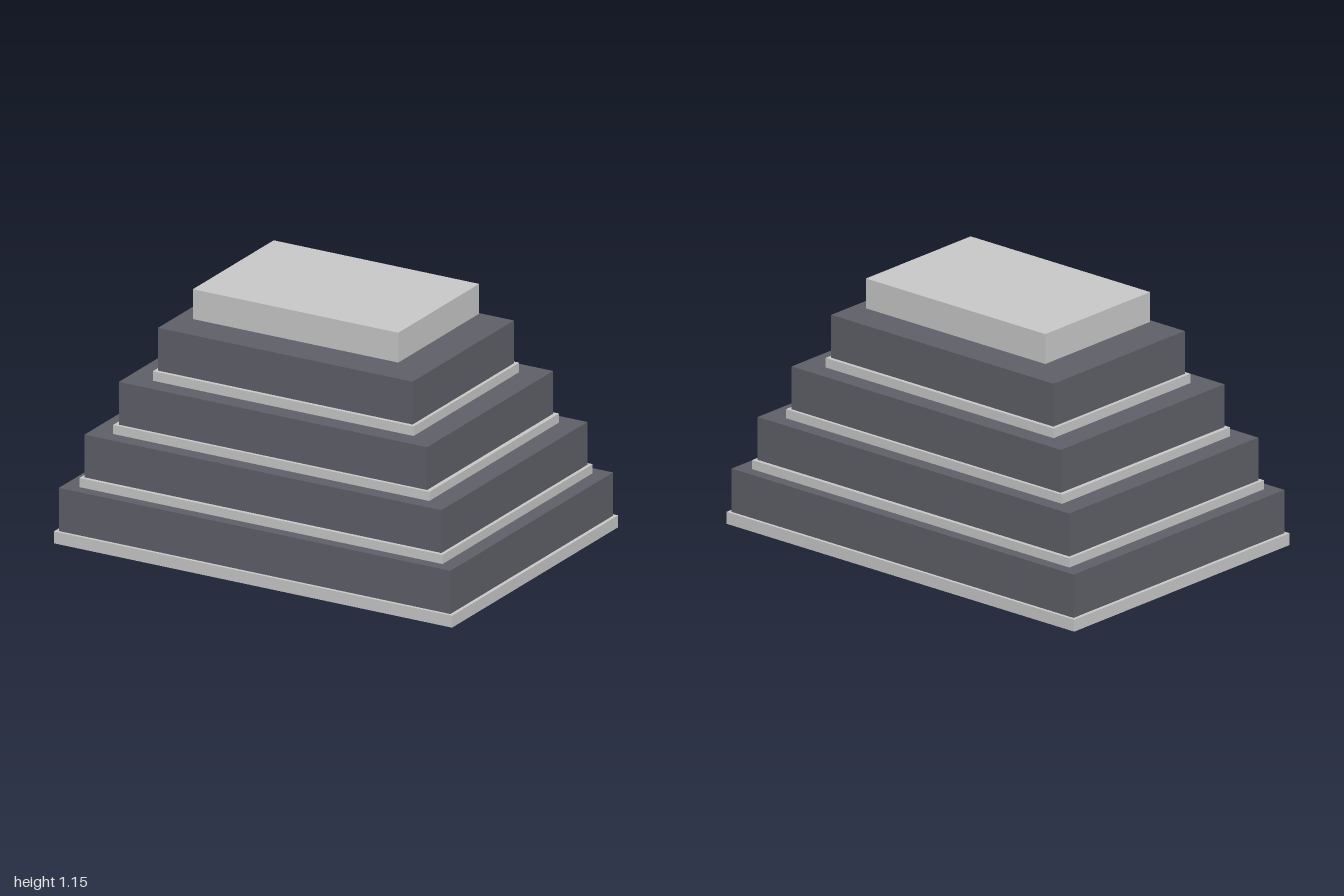
import * as THREE from 'three';

export function createModel() {
  const model = new THREE.Group();
  model.name = 'steppedPlinth';

  const paleStone = new THREE.MeshStandardMaterial({ color: 0xc8c8c8 });
  paleStone.name = 'paleStone';
  const darkStone = new THREE.MeshStandardMaterial({ color: 0x5f5f68 });
  darkStone.name = 'darkStone';

  // Box given by half width, half depth, bottom and top heights
  function slab(name, material, halfX, halfZ, bottom, top) {
    const mesh = new THREE.Mesh(
      new THREE.BoxGeometry(halfX * 2, top - bottom, halfZ * 2), material);
    mesh.name = name;
    mesh.position.y = (bottom + top) / 2;
    model.add(mesh);
  }

  // Each tier: a thin pale ledge under a slightly narrower dark block
  const tiers = [
    { ledge: [1, 0.705], block: [0.983, 0.69], y: [0, 0.055, 0.255] },
    { ledge: [0.912, 0.637], block: [0.896, 0.619], y: [0.255, 0.297, 0.495] },
    { ledge: [0.794, 0.55], block: [0.774, 0.535], y: [0.495, 0.537, 0.735] },
    { ledge: [0.655, 0.448], block: [0.639, 0.43], y: [0.735, 0.779, 0.977] },
  ];
  tiers.forEach(({ ledge, block, y }, i) => {
    slab(`ledge${i + 1}`, paleStone, ...ledge, y[0], y[1]);
    slab(`block${i + 1}`, darkStone, ...block, y[1], y[2]);
  });

  // Cap slab, hovering just above the last tier
  slab('capSlab', paleStone, 0.516, 0.343, 1.013, 1.151);

  return model;
}
